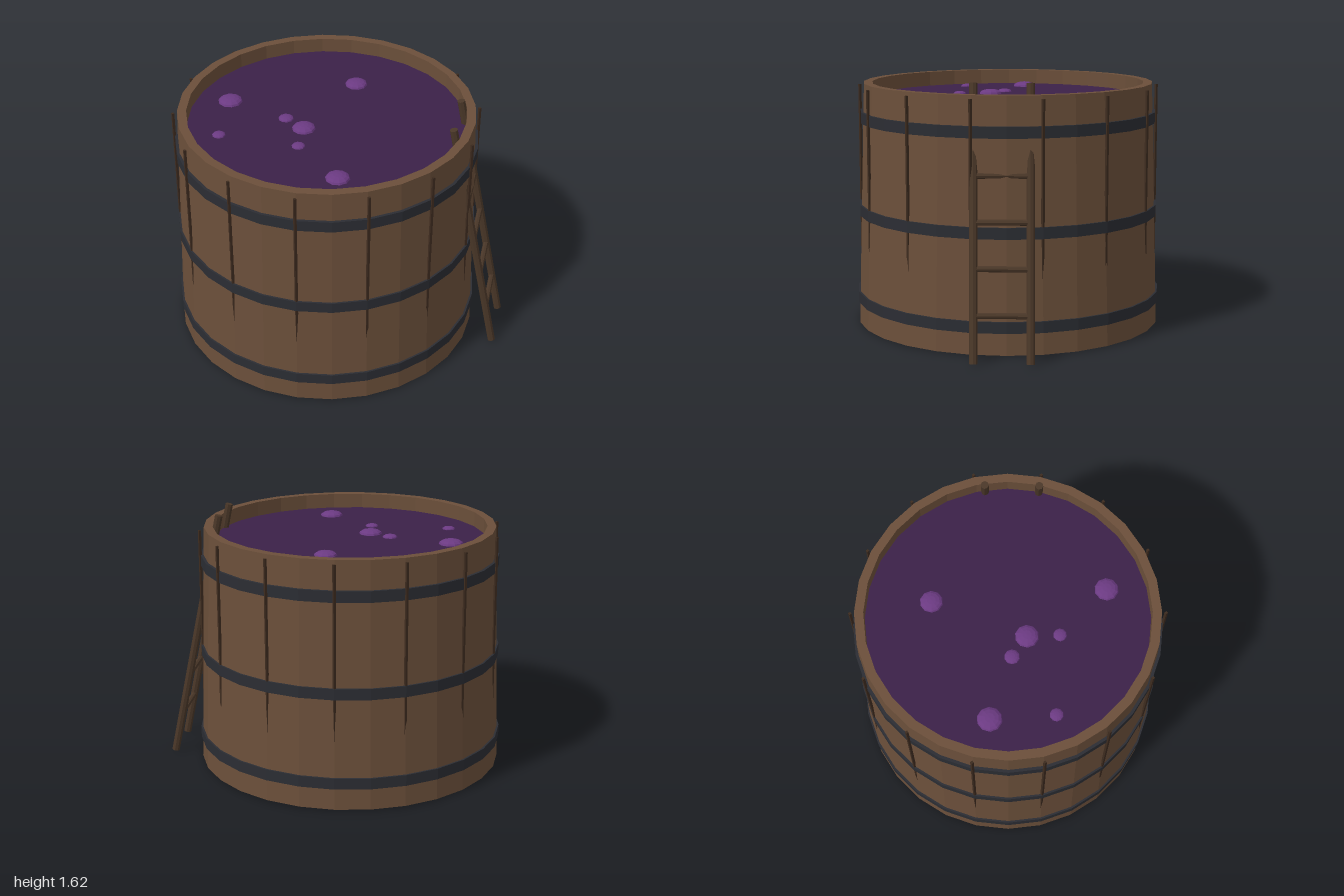
import * as THREE from 'three';

const mat = (color) => new THREE.MeshStandardMaterial({ color, flatShading: true });
const SIDES = 28;
const CENTER_X = -0.016;

export function createModel() {
  const model = new THREE.Group();
  model.name = 'tub';
  const wood = mat(0x6b4f3a), seamWood = mat(0x3d2b1f), ladderWood = mat(0x4a3728);
  const iron = mat(0x2b2d33), brew = mat(0x3b2148), bubbleMat = mat(0x6b3a82);

  const barrel = new THREE.Group();
  barrel.name = 'barrel';
  barrel.position.x = CENTER_X;
  model.add(barrel);

  const add = (parent, name, geometry, material) => {
    const mesh = new THREE.Mesh(geometry, material);
    mesh.name = name;
    parent.add(mesh);
    return mesh;
  };
  const lathe = (pairs) =>
    new THREE.LatheGeometry(pairs.map(([r, y]) => new THREE.Vector2(r, y)), SIDES);

  // Tapered wooden wall with floor and open rim
  add(barrel, 'wall', lathe([
    [0, 0.005], [0.98, 0.005], [0.928, 1.55], [0.872, 1.55], [0.872, 0.06], [0, 0.06],
  ]), wood);

  // Iron hoops: [centre height, outer radius]
  for (const [y, r] of [[0.175, 0.985], [0.74, 0.966], [1.335, 0.952]]) {
    const a = y - 0.035, b = y + 0.035, inner = r - 0.04;
    add(barrel, 'hoop', lathe([[inner, a], [r, a], [r, b], [inner, b], [inner, a]]), iron);
  }

  // Upright seam strips, sinking into the flared wall lower down
  for (let i = 0; i < 14; i++) {
    const angle = (i / 14) * Math.PI * 2;
    const strip = add(barrel, 'seamStrip', new THREE.BoxGeometry(0.015, 1.5, 0.015), seamWood);
    strip.position.set(Math.cos(angle) * 0.955, 0.78, Math.sin(angle) * 0.955);
  }

  // Liquid surface
  const liquid = add(barrel, 'liquid', new THREE.CircleGeometry(0.872, SIDES), brew);
  liquid.rotation.x = -Math.PI / 2;
  liquid.position.y = 1.455;

  // Flattened bubbles: [x, z, radius]
  for (const [x, z, r] of [
    [-0.453, -0.49, 0.078], [0.357, -0.3, 0.072], [-0.68, -0.163, 0.042], [-0.23, -0.14, 0.048],
    [-0.183, 0.013, 0.074], [-0.302, 0.175, 0.042], [-0.25, 0.587, 0.075],
  ]) {
    const bubble = add(model, 'bubble', new THREE.SphereGeometry(r, 10, 8), bubbleMat);
    bubble.scale.y = 0.4;
    bubble.position.set(x, 1.457, z);
  }

  // Leaning ladder
  const ladder = new THREE.Group();
  ladder.name = 'ladder';
  model.add(ladder);
  const rod = (name, from, to, radius) => {
    const dir = to.clone().sub(from);
    const mesh = add(ladder, name, new THREE.CylinderGeometry(radius, radius, dir.length(), 8), ladderWood);
    mesh.position.copy(from).lerp(to, 0.5);
    mesh.quaternion.setFromUnitVectors(new THREE.Vector3(0, 1, 0), dir.normalize());
  };
  const rails = [
    [new THREE.Vector3(0.76, 0.005, 0.865), new THREE.Vector3(0.497, 1.612, 0.66)],
    [new THREE.Vector3(0.975, 0.005, 0.61), new THREE.Vector3(0.712, 1.612, 0.4)],
  ];
  for (const [foot, top] of rails) rod('rail', foot, top, 0.025);
  for (let i = 0; i < 5; i++) {
    const t = (0.275 + i * 0.267) / 1.61;
    const [left, right] = rails.map(([foot, top]) => foot.clone().lerp(top, t));
    rod('rung', left, right, 0.018);
  }
  return model;
}
